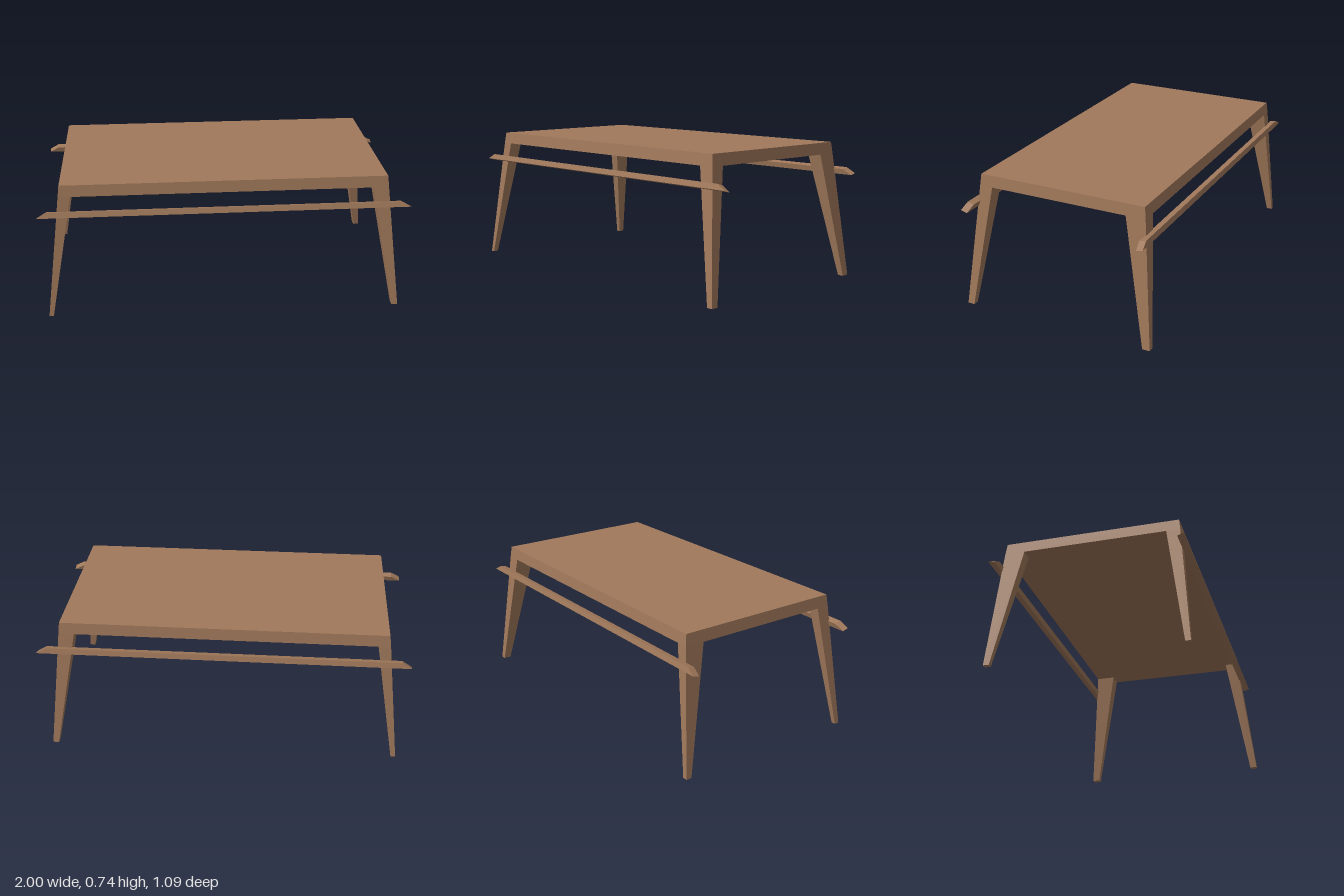
import * as THREE from 'three';

const wood = new THREE.MeshStandardMaterial({ color: 0xa0785a });
wood.name = 'brown wood';

// Solid between a lower and an upper rectangle, each [x0, x1, z0, z1]
function taperedBlock(name, yLow, low, yHigh, high) {
  const geometry = new THREE.BoxGeometry(1, 1, 1);
  const p = geometry.attributes.position;
  for (let i = 0; i < p.count; i++) {
    const up = p.getY(i) > 0;
    const r = up ? high : low;
    p.setXYZ(i, r[p.getX(i) > 0 ? 1 : 0], up ? yHigh : yLow, r[p.getZ(i) > 0 ? 3 : 2]);
  }
  geometry.computeVertexNormals();
  const mesh = new THREE.Mesh(geometry, wood);
  mesh.name = name;
  return mesh;
}

// Tilted side rail with mitred ends, longer along its lower edge
function rail(name, y, z, tilt) {
  const mesh = taperedBlock(name, -0.015, [-1, 1, -0.0185, 0.0185], 0.015, [-0.95, 0.948, -0.0185, 0.0185]);
  mesh.position.set(0, y, z);
  mesh.rotation.x = tilt;
  return mesh;
}

export function createModel() {
  const table = new THREE.Group();
  table.name = 'table';
  const underside = 0.68;

  // Thick top, flaring slightly downwards
  table.add(taperedBlock('tableTop', underside, [-0.885, 0.878, -0.484, 0.47],
    0.743, [-0.877, 0.871, -0.477, 0.463]));

  // Splayed, tapering legs: foot rectangle, then the rectangle under the top
  const legs = {
    frontLeftLeg: [[0.922, 0.955, 0.507, 0.546], [0.794, 0.878, 0.396, 0.47]],
    frontRightLeg: [[-0.97, -0.946, 0.5, 0.528], [-0.885, -0.82, 0.396, 0.47]],
    backLeftLeg: [[0.922, 0.955, -0.546, -0.504], [0.794, 0.878, -0.484, -0.376]],
    backRightLeg: [[-0.962, -0.936, -0.532, -0.5], [-0.885, -0.82, -0.484, -0.376]],
  };
  for (const [name, [foot, top]] of Object.entries(legs)) {
    table.add(taperedBlock(name, 0, foot, underside, top));
  }

  // Long rails across the outside of the legs
  table.add(rail('frontRail', 0.588, 0.491, -0.3));
  table.add(rail('backRail', 0.588, -0.506, 0.22));
  return table;
}
